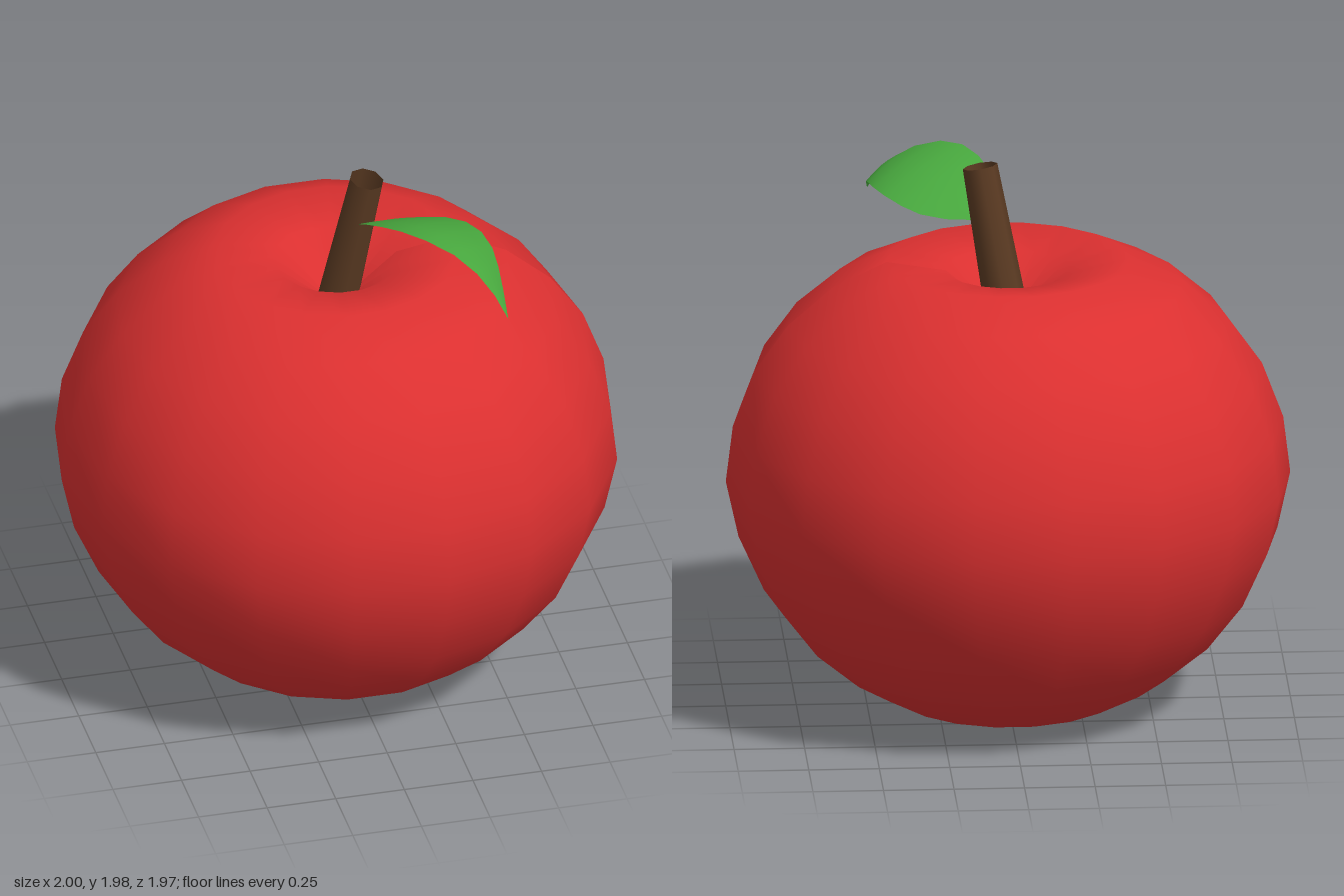
import * as THREE from 'three';

const red = new THREE.MeshStandardMaterial({ color: 0xdb3030 });
red.name = 'apple red';
const brown = new THREE.MeshStandardMaterial({ color: 0x5a3a22, side: THREE.DoubleSide });
brown.name = 'stem brown';
const green = new THREE.MeshStandardMaterial({ color: 0x48a83e, side: THREE.DoubleSide });
green.name = 'leaf green';

function part(name, geometry, material) {
  const mesh = new THREE.Mesh(geometry, material);
  mesh.name = name;
  return mesh;
}

// Round fruit with a dimple at both ends, 18 sides, seam on the left side
function makeFruit() {
  const profile = [
    [0, 0.1], [0.2, 0], [0.4, 0.03], [0.575, 0.125], [0.735, 0.26], [0.865, 0.43],
    [0.955, 0.63], [1, 0.835], [0.975, 1.04], [0.9, 1.24], [0.78, 1.41],
    [0.62, 1.55], [0.43, 1.64], [0.22, 1.605], [0, 1.42],
  ].map(([r, y]) => new THREE.Vector2(r, y));
  const geometry = new THREE.LatheGeometry(profile, 18, Math.PI / 2);
  geometry.computeVertexNormals();
  return part('fruit', geometry, red);
}

// Hollow tapered stem, leaning towards the front left
function makeStem() {
  const base = new THREE.Vector3(0, 1.42, 0);
  const tip = new THREE.Vector3(0.095, 1.968, 0.068);
  const axis = tip.clone().sub(base);
  const stem = part('stem', new THREE.CylinderGeometry(0.062, 0.077, axis.length(), 8, 1, true), brown);
  stem.position.copy(base).add(tip).multiplyScalar(0.5);
  stem.quaternion.setFromUnitVectors(new THREE.Vector3(0, 1, 0), axis.normalize());
  return stem;
}

// Arched, twisted leaf lofted between its two edge curves
function makeLeaf() {
  const toCurve = (points) => new THREE.CatmullRomCurve3(points.map((p) => new THREE.Vector3(...p)));
  const upperEdge = toCurve([
    [0.07, 1.78, 0.07], [0.04, 1.87, 0.2], [0.085, 1.925, 0.32], [0.17, 1.945, 0.43],
    [0.3, 1.9, 0.525], [0.4, 1.81, 0.605], [0.46, 1.7, 0.675],
  ]);
  const lowerEdge = toCurve([
    [0.1, 1.77, 0.06], [0.27, 1.78, 0.07], [0.37, 1.805, 0.13], [0.445, 1.825, 0.24],
    [0.475, 1.815, 0.38], [0.473, 1.775, 0.51], [0.46, 1.7, 0.675],
  ]);
  const rows = 9, columns = 4, positions = [], index = [];
  for (let i = 0; i <= rows; i++) {
    const a = upperEdge.getPoint(i / rows), b = lowerEdge.getPoint(i / rows);
    for (let j = 0; j <= columns; j++) {
      const p = a.clone().lerp(b, j / columns);
      p.y += 0.015 * Math.sin((Math.PI * j) / columns) * Math.sin((Math.PI * i) / rows);
      positions.push(p.x, p.y, p.z);
      if (i < rows && j < columns) {
        const k = i * (columns + 1) + j, n = k + columns + 1;
        index.push(k, n, k + 1, k + 1, n, n + 1);
      }
    }
  }
  const geometry = new THREE.BufferGeometry();
  geometry.setAttribute('position', new THREE.Float32BufferAttribute(positions, 3));
  geometry.setIndex(index);
  geometry.computeVertexNormals();
  return part('leaf', geometry, green);
}

export function createModel() {
  const apple = new THREE.Group();
  apple.name = 'apple';
  apple.add(makeFruit(), makeStem(), makeLeaf());
  return apple;
}
